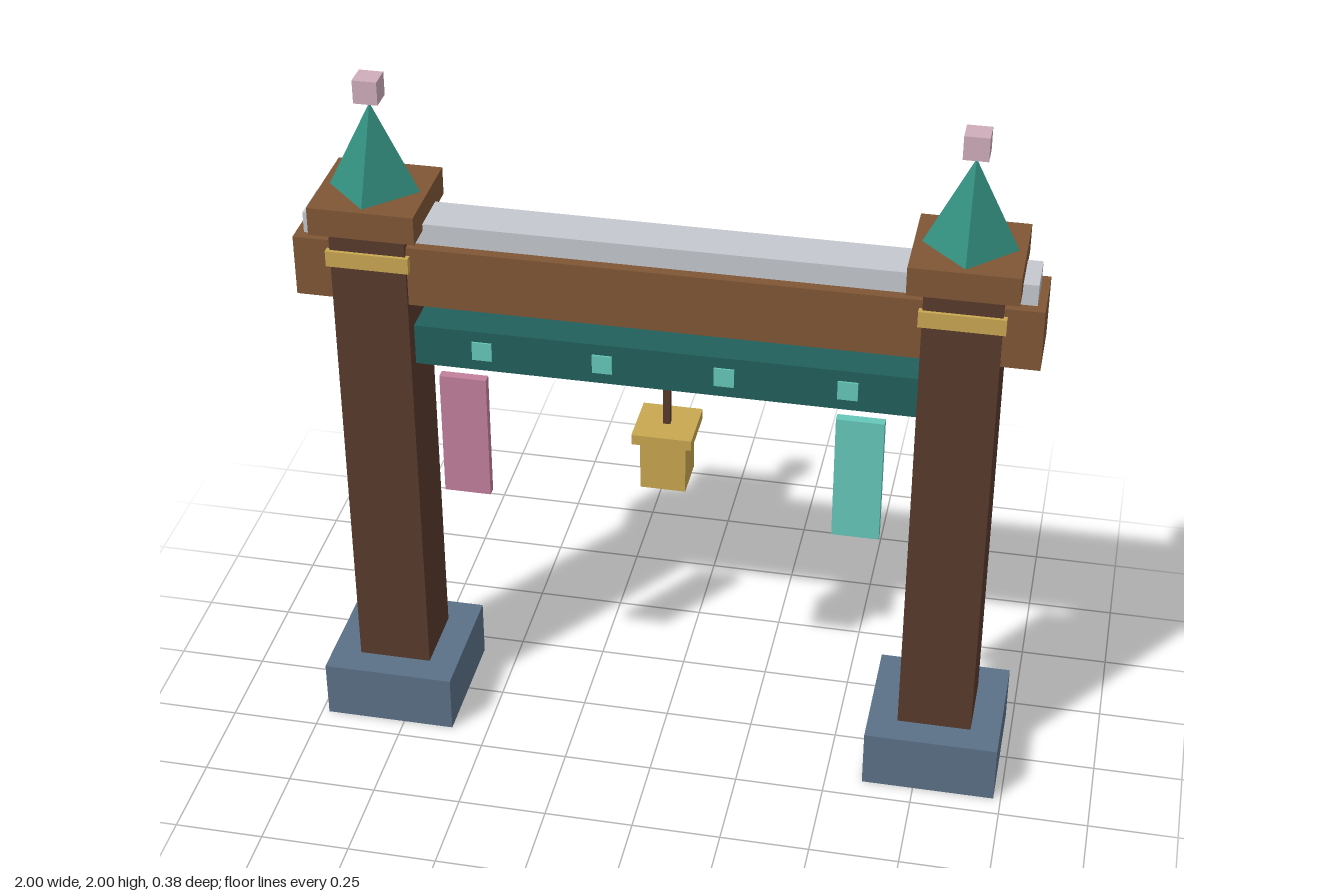
import * as THREE from 'three';

const mat = (name, color) => {
  const m = new THREE.MeshStandardMaterial({ color });
  m.name = name;
  return m;
};

export function createModel() {
  const darkWood = mat('darkWood', 0x583a2d);
  const wood = mat('wood', 0x7f5635);
  const stone = mat('stone', 0x5b7087);
  const silver = mat('silver', 0xc4c7ce);
  const deepTeal = mat('deepTeal', 0x22605d);
  const roofGreen = mat('roofGreen', 0x32907f);
  const mint = mat('mint', 0x65c8ba);
  const rose = mat('rose', 0xc27f9c);
  const gold = mat('gold', 0xc9a751);
  const blush = mat('blush', 0xcfadbb);

  const model = new THREE.Group();
  model.name = 'gateway';

  // Box given by its size, the height of its underside and its centre in x and z
  const box = (parent, name, material, w, h, d, bottom, x = 0, z = 0) => {
    const mesh = new THREE.Mesh(new THREE.BoxGeometry(w, h, d), material);
    mesh.name = name;
    mesh.position.set(x, bottom + h / 2, z);
    parent.add(mesh);
    return mesh;
  };

  // Two posts with footing, band, capital, spire and floating finial
  for (const side of [-1, 1]) {
    const tower = new THREE.Group();
    tower.name = side > 0 ? 'leftTower' : 'rightTower';
    tower.position.x = side * 0.792;
    box(tower, 'footing', stone, 0.375, 0.17, 0.375, 0);
    box(tower, 'post', darkWood, 0.208, 1.42, 0.208, 0.17);
    box(tower, 'band', gold, 0.228, 0.046, 0.228, 1.48);
    box(tower, 'capital', wood, 0.29, 0.08, 0.29, 1.59);
    const roof = new THREE.ConeGeometry(0.125, 0.25, 4);
    const spire = new THREE.Mesh(roof.toNonIndexed(), roofGreen);
    spire.geometry.computeVertexNormals(); // flat facets
    spire.name = 'spire';
    spire.position.y = 1.795;
    tower.add(spire);
    box(tower, 'finial', blush, 0.066, 0.066, 0.066, 1.93);
    model.add(tower);
  }

  // Crossbeams
  box(model, 'mainBeam', wood, 2, 0.174, 0.188, 1.375);
  box(model, 'beamCapping', silver, 1.955, 0.06, 0.128, 1.549);
  box(model, 'lowerBeam', deepTeal, 1.5, 0.12, 0.12, 1.17);

  // Square studs on the lower beam
  for (let i = 0; i < 4; i++) {
    box(model, 'stud', mint, 0.055, 0.055, 0.008, 1.203, -0.5 + i / 3, 0.061);
  }

  // Hanging banners
  box(model, 'rightBanner', rose, 0.13, 0.373, 0.027, 0.798, -0.543, 0.1);
  box(model, 'leftBanner', mint, 0.13, 0.373, 0.027, 0.798, 0.543, 0.1);

  // Bell hanging from the lower beam
  const bell = new THREE.Group();
  bell.name = 'bell';
  box(bell, 'cord', darkWood, 0.02, 0.15, 0.02, 1.025);
  box(bell, 'bellCap', gold, 0.166, 0.03, 0.166, 0.998);
  box(bell, 'bellBody', gold, 0.126, 0.152, 0.126, 0.847);
  model.add(bell);

  return model;
}
